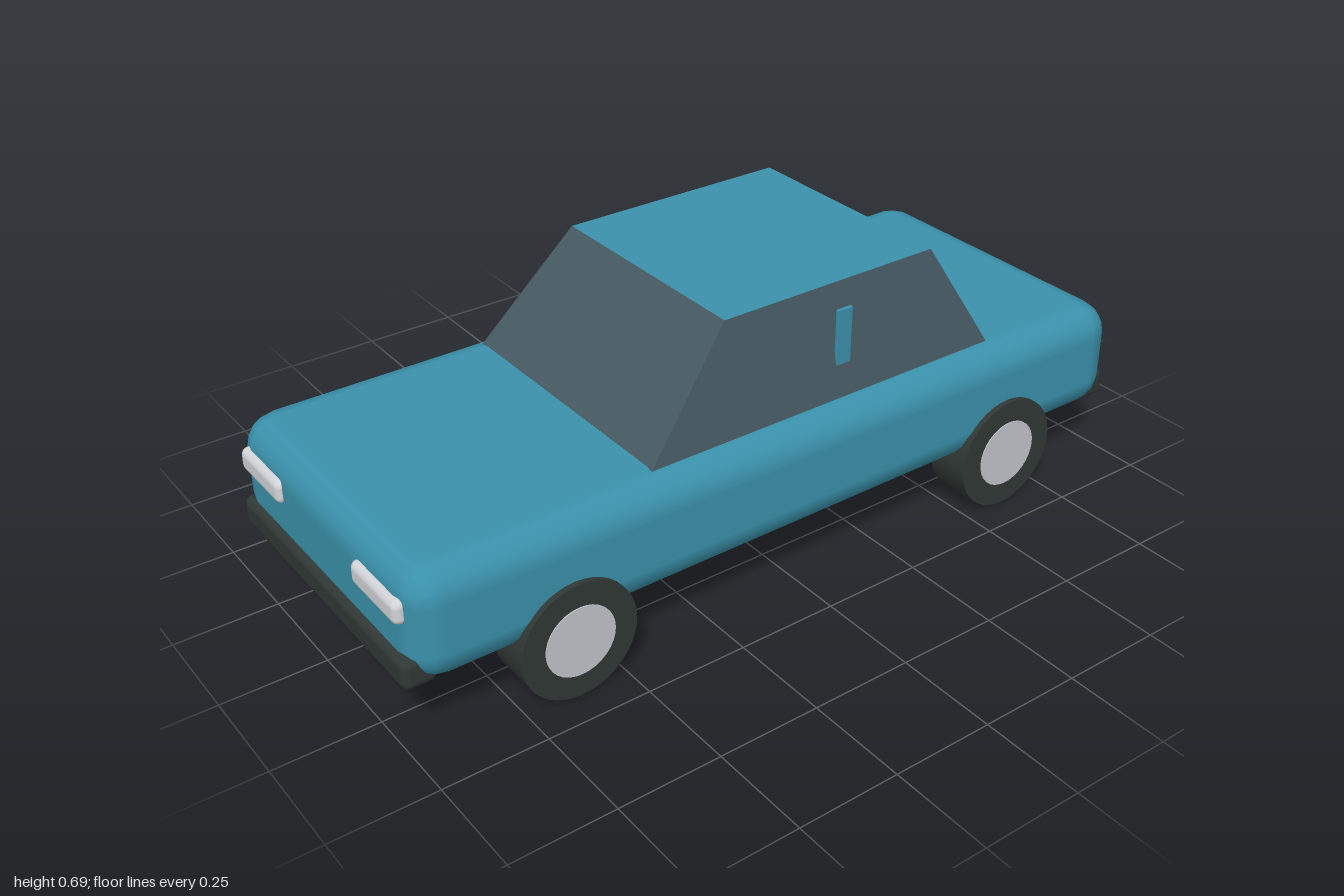
import * as THREE from 'three';
import { RoundedBoxGeometry } from 'three/addons/geometries/RoundedBoxGeometry.js';

const mat = (name, color) => {
  const m = new THREE.MeshStandardMaterial({ color });
  m.name = name;
  return m;
};

export function createModel() {
  const paint = mat('tealPaint', 0x3a91ab);
  const glass = mat('darkGlass', 0x465a63);
  const rubber = mat('blackRubber', 0x303835);
  const hubMetal = mat('hubMetal', 0xc4c6cc);
  const lampWhite = mat('lampWhite', 0xd2d3d6);
  const lampRed = mat('lampRed', 0xcc333b);

  const car = new THREE.Group();
  car.name = 'car';

  const add = (name, geometry, material, x, y, z) => {
    const mesh = new THREE.Mesh(geometry, material);
    mesh.name = name;
    mesh.position.set(x, y, z);
    car.add(mesh);
    return mesh;
  };

  // Lower body with soft edges
  add('body', new RoundedBoxGeometry(0.82, 0.276, 1.97, 2, 0.08), paint, 0, 0.292, 0);

  // Cabin: a box tapered towards the roof, glass sides and painted top
  const cabin = new THREE.BoxGeometry(1, 1, 1);
  const p = cabin.attributes.position;
  for (let i = 0; i < p.count; i++) {
    const top = p.getY(i) > 0;
    const front = p.getZ(i) > 0;
    const z = top ? (front ? 0.152 : -0.437) : (front ? 0.38 : -0.588);
    p.setXYZ(i, Math.sign(p.getX(i)) * (top ? 0.295 : 0.348), top ? 0.691 : 0.428, z);
  }
  cabin.computeVertexNormals();
  add('cabin', cabin, [glass, glass, paint, glass, glass, glass], 0, 0, 0);

  // Door pillars
  for (const s of [1, -1]) {
    add('doorPillar', new RoundedBoxGeometry(0.01, 0.14, 0.043, 1, 0.003), paint, s * 0.328, 0.571, -0.154);
  }

  // Bumpers and lamps at both ends
  for (const e of [1, -1]) {
    const end = e > 0 ? 'front' : 'rear';
    add(end + 'Bumper', new RoundedBoxGeometry(0.756, 0.075, 0.08, 3, 0.02), rubber, 0, 0.192, e * 0.96);
    for (const s of [1, -1]) {
      add(e > 0 ? 'headlight' : 'tailLight', new RoundedBoxGeometry(0.194, 0.059, 0.05, 3, 0.018),
        e > 0 ? lampWhite : lampRed, s * 0.264, 0.335, e * 0.973);
    }
  }

  // Wheels with hubcaps
  const tyre = new THREE.CylinderGeometry(0.142, 0.142, 0.112, 40).rotateZ(Math.PI / 2);
  const hub = new THREE.CylinderGeometry(0.086, 0.086, 0.02, 32).rotateZ(Math.PI / 2);
  for (const z of [0.618, -0.614]) {
    for (const s of [1, -1]) {
      const end = z > 0 ? 'front' : 'rear';
      add(end + 'Tyre', tyre, rubber, s * 0.368, 0.143, z);
      add(end + 'Hubcap', hub, hubMetal, s * 0.4165, 0.143, z);
    }
  }

  return car;
}
